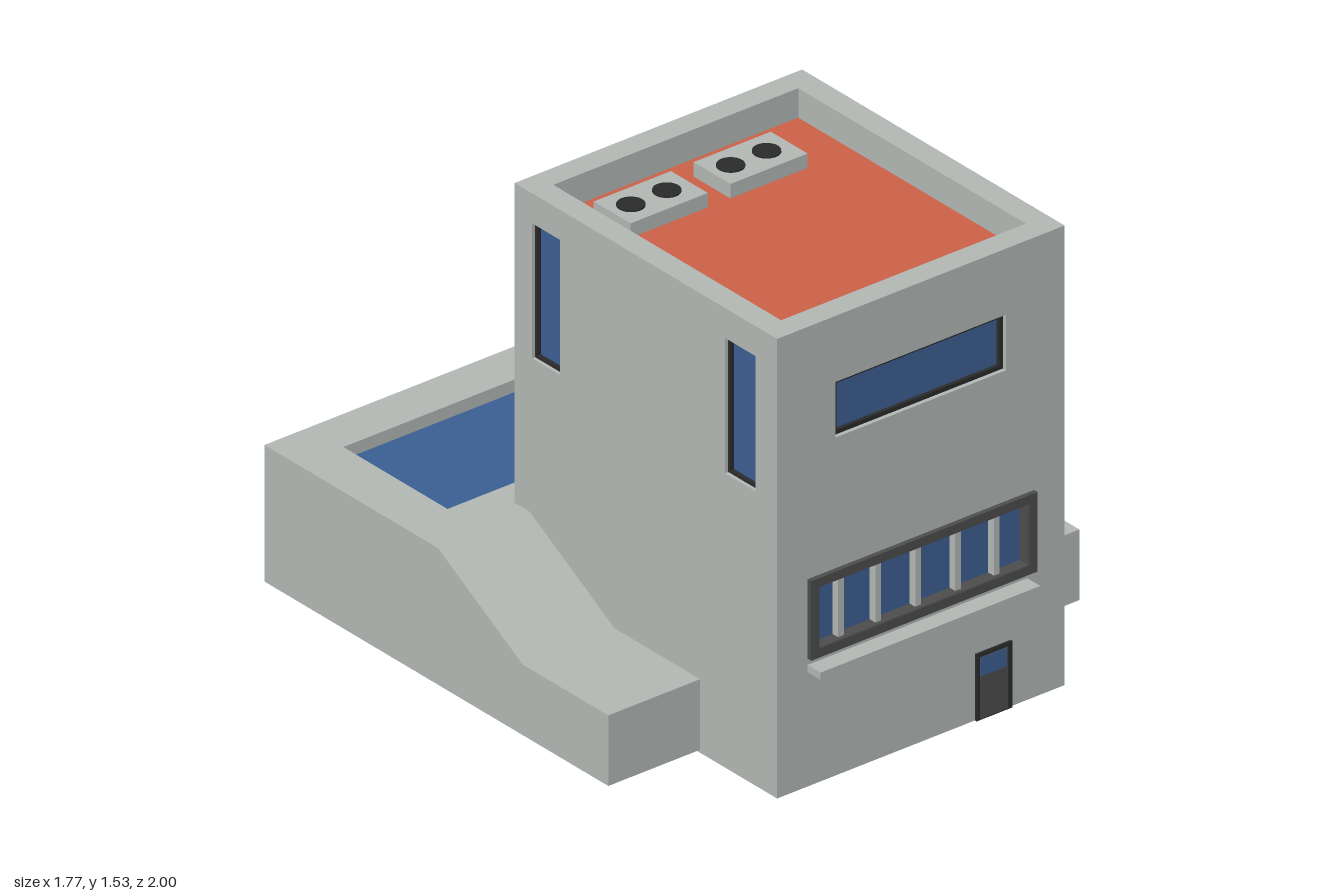
import * as THREE from 'three';

const mat = (name, color, side = THREE.FrontSide) => {
  const m = new THREE.MeshStandardMaterial({ color, side });
  m.name = name;
  return m;
};

export function createModel() {
  const concrete = mat('concrete grey', 0xb3b8b5, THREE.DoubleSide);
  const blue = mat('glass blue', 0x3b5f92, THREE.DoubleSide);
  const red = mat('roof red', 0xcc6048);
  const black = mat('frame black', 0x2b2b2b);
  const charcoal = mat('charcoal', 0x4d4d4e);

  const model = new THREE.Group();
  model.name = 'house';

  const add = (parent, name, geometry, material) => {
    const mesh = new THREE.Mesh(geometry, material);
    mesh.name = name;
    parent.add(mesh);
    return mesh;
  };
  // Box given by its lower and upper limits on each axis
  const box = (parent, name, material, x0, x1, y0, y1, z0, z1) => {
    const g = new THREE.BoxGeometry(x1 - x0, y1 - y0, z1 - z0);
    g.translate((x0 + x1) / 2, (y0 + y1) / 2, (z0 + z1) / 2);
    return add(parent, name, g, material);
  };
  const rect = (Type, [x0, x1, y0, y1], inset = 0) => {
    const s = new Type();
    s.moveTo(x0 + inset, y0 + inset);
    s.lineTo(x1 - inset, y0 + inset);
    s.lineTo(x1 - inset, y1 - inset);
    s.lineTo(x0 + inset, y1 - inset);
    s.closePath();
    return s;
  };
  // Slab with rectangular holes, from z = near to z = near + depth
  const slab = (outer, holes, near, depth) => {
    const s = rect(THREE.Shape, outer);
    holes.forEach(h => s.holes.push(rect(THREE.Path, h)));
    const g = new THREE.ExtrudeGeometry(s, { depth, bevelEnabled: false });
    g.translate(0, 0, near);
    return g;
  };
  const shrink = ([a, b, c, d], k) => [a + k, b - k, c + k, d - k];

  // ---- Tower: four wall panels, outer face at local z = 0 ----
  const W = 0.54, H = 1.53, BACK = -0.27, FRONT = 0.94, T = 0.03;
  const tower = new THREE.Group();
  tower.name = 'tower';
  model.add(tower);

  const wall = (name, u0, u1, holes, turn, x, z) => {
    const g = new THREE.Group();
    g.name = name;
    g.rotation.y = turn;
    g.position.set(x, 0, z);
    add(g, name + 'Panel', slab([u0, u1, 0, H], holes, -T, T), concrete);
    tower.add(g);
    return g;
  };
  // Window: glass sunk in the hole, frame ring from near to far
  const windowIn = (parent, name, r, frame, width, near, far) => {
    add(parent, name + 'Frame', slab(r, [shrink(r, width)], near, far - near), frame);
    const [a, b, c, d] = r;
    box(parent, name + 'Glass', blue, a, b, c, d, -T - 0.004, -T + 0.004);
  };

  // Front wall
  const upper = [-0.32, 0.32, 1.125, 1.31];
  const lower = [-0.425, 0.425, 0.425, 0.69];
  const front = wall('frontWall', -W, W, [upper, shrink(lower, 0.02)], 0, 0, FRONT);
  windowIn(front, 'upperWindow', upper, black, 0.014, -T, -0.014);
  windowIn(front, 'lowerWindow', shrink(lower, 0.02), charcoal, 0.012, -T, 0.014);
  add(front, 'lowerWindowSurround', slab(lower, [shrink(lower, 0.03)], 0, 0.016), charcoal);
  for (const x of [-0.3, -0.16, -0.01, 0.14, 0.285])
    box(front, 'mullion', concrete, x - 0.011, x + 0.011, 0.45, 0.665, -T, 0);
  box(front, 'windowSill', concrete, -0.425, 0.4, 0.38, 0.405, 0, 0.06);

  // Door with its small pane
  const door = new THREE.Group();
  door.name = 'door';
  front.add(door);
  box(door, 'doorLeaf', charcoal, 0.215, 0.325, 0, 0.21, -T - 0.003, 0.003);
  add(door, 'doorFrame', slab([0.203, 0.337, 0, 0.222], [[0.216, 0.324, 0.001, 0.21]], 0, 0.008), black);
  box(door, 'doorPane', blue, 0.22, 0.32, 0.142, 0.203, -T - 0.005, 0.005);

  // Side walls: horizontal position runs along -z on the left, +z on the right
  const leftHoles = [
    [-0.84, -0.695, 0.98, 1.457],
    [-0.56, -0.42, 0.395, 0.803],
    [-0.228, 0.158, 1.06, 1.378],
  ];
  const left = wall('leftWall', -FRONT, -BACK, leftHoles, Math.PI / 2, W, 0);
  leftHoles.forEach((h, i) =>
    windowIn(left, 'leftWindow' + (i + 1), h, black, i === 2 ? 0.018 : 0.009, -T, -0.012));

  const rightHoles = [[-0.19, -0.06, 0.98, 1.457], [0.7, 0.84, 0.98, 1.457]];
  const right = wall('rightWall', BACK, FRONT, rightHoles, -Math.PI / 2, -W, 0);
  rightHoles.forEach((h, i) =>
    windowIn(right, 'rightWindow' + (i + 1), h, black, 0.009, -T, -0.012));

  // Back wall with a projecting frame
  const rear = [-0.345, 0.345, 1.1, 1.34];
  const back = wall('backWall', -W, W, [shrink(rear, 0.02)], Math.PI, 0, BACK);
  windowIn(back, 'backWindow', shrink(rear, 0.02), black, 0.012, -T, 0.016);
  add(back, 'backWindowSurround', slab(rear, [shrink(rear, 0.032)], 0, 0.018), black);

  // Parapet, roof and the floor inside the open bottom
  const parapet = add(tower, 'parapet',
    slab([-W, W, -FRONT, -BACK], [[-0.46, 0.46, -0.86, 0.19]], 0, 0.1), concrete);
  parapet.rotation.x = -Math.PI / 2;
  parapet.position.y = H - 0.1;
  box(tower, 'roof', red, -0.47, 0.47, 1.42, 1.432, -0.2, 0.87);
  box(tower, 'groundFloor', concrete, -W + T, W - T, 0.25, 0.26, BACK + T, FRONT - T);

  // Rooftop ventilation units
  for (const [x0, fans] of [[-0.375, [-0.305, -0.17]], [0, [0.07, 0.205]]]) {
    const unit = new THREE.Group();
    unit.name = 'ventilationUnit';
    tower.add(unit);
    box(unit, 'unitCase', concrete, x0, x0 + 0.29, 1.43, 1.48, -0.108, 0.062);
    for (const x of fans)
      add(unit, 'fan', new THREE.CylinderGeometry(0.043, 0.043, 0.008, 24), black)
        .position.set(x, 1.481, -0.023);
  }

  // ---- Terrace: hollow base with sloping sides ----
  const terrace = new THREE.Group();
  terrace.name = 'terrace';
  model.add(terrace);
  const B = 0.885, Y0 = 0.01, TOP = 0.465;
  const profile = [[0.585, Y0], [0.585, 0.245], [0.19, 0.245], [-0.2, TOP], [BACK, TOP]];

  // Strip of flat quads swept from x = W to x = B along the profile
  const stripGeometry = () => {
    const p = [];
    for (let i = 0; i < profile.length - 1; i++) {
      const [za, ya] = profile[i], [zb, yb] = profile[i + 1];
      p.push(W, ya, za, B, ya, za, B, yb, zb, W, ya, za, B, yb, zb, W, yb, zb);
    }
    const g = new THREE.BufferGeometry();
    g.setAttribute('position', new THREE.Float32BufferAttribute(p, 3));
    g.computeVertexNormals();
    return g;
  };
  const side = new THREE.Shape();
  [[-1, Y0], ...profile, [-1, TOP]].forEach(([z, y], i) =>
    i ? side.lineTo(-z, y) : side.moveTo(-z, y));
  side.closePath();

  for (const s of [1, -1]) {
    const half = new THREE.Group();
    half.name = s > 0 ? 'leftTerrace' : 'rightTerrace';
    half.rotation.y = s > 0 ? 0 : Math.PI;
    terrace.add(half);
    const strip = stripGeometry();
    if (s < 0) strip.translate(-W - B, 0, 0);
    add(terrace, 'slopingTop', strip, concrete);
    const g = new THREE.ShapeGeometry(side);
    if (s < 0) g.scale(-1, 1, 1);
    // Restore winding after mirroring
    if (s < 0) {
      const ix = g.index.array;
      for (let i = 0; i < ix.length; i += 3) [ix[i], ix[i + 1]] = [ix[i + 1], ix[i]];
    }
    g.rotateY(Math.PI / 2);
    g.translate(B, 0, 0);
    add(half, 'sideWall', g, concrete);
  }
  const rearWall = add(terrace, 'rearWall', new THREE.PlaneGeometry(2 * B, TOP - Y0), concrete);
  rearWall.rotation.y = Math.PI;
  rearWall.position.set(0, (TOP + Y0) / 2, -1);

  // Pool deck with its opening, and the water
  const deck = add(terrace, 'poolDeck',
    slab([-B, B, -BACK, 1], [[-0.715, 0.715, 0.365, 0.845]], 0, 0.045), concrete);
  deck.rotation.x = -Math.PI / 2;
  deck.position.y = TOP - 0.045;
  box(terrace, 'poolWater', blue, -0.715, 0.715, 0.416, 0.423, -0.845, -0.365);

  return model;
}
